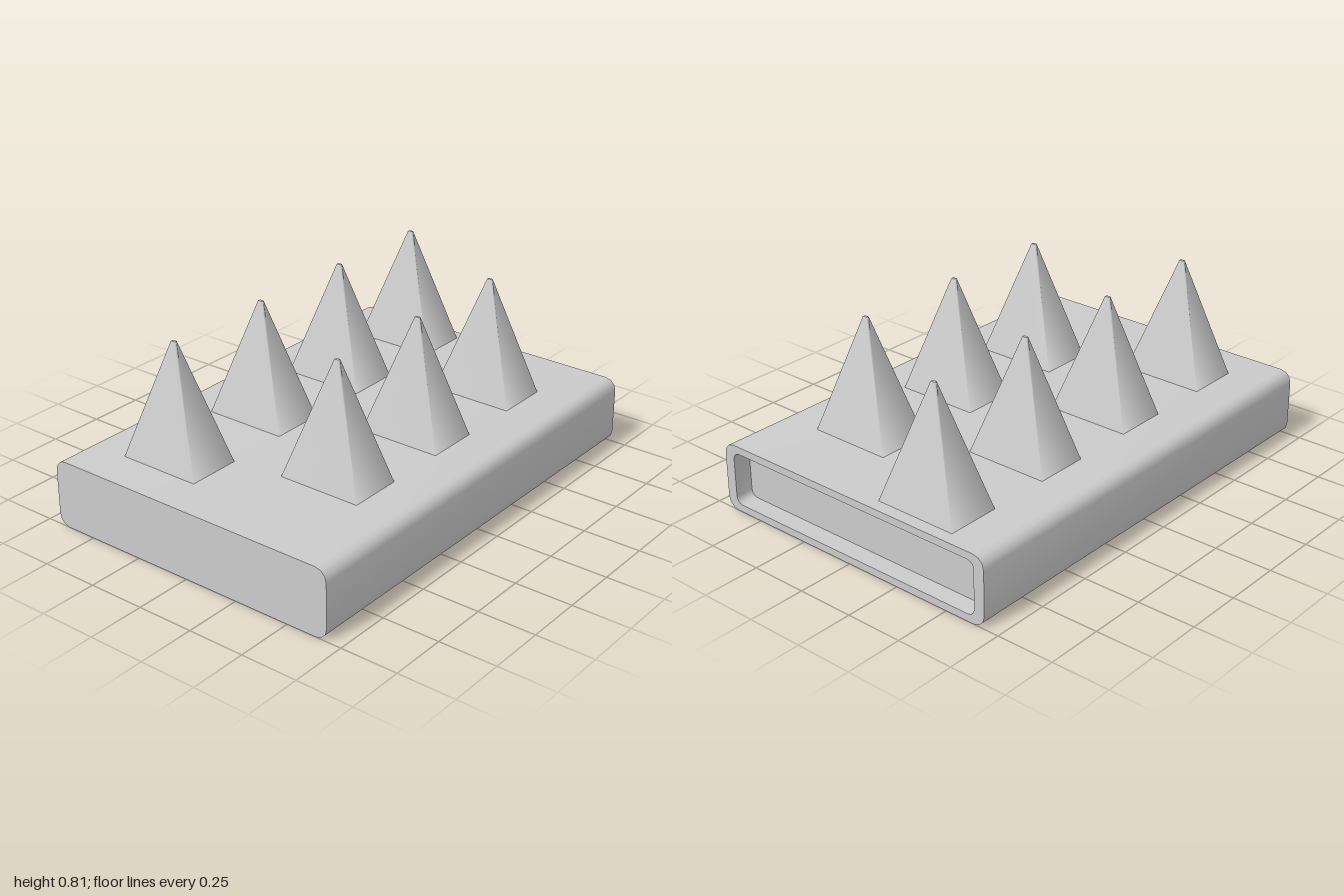
import * as THREE from 'three';
import { toCreasedNormals } from 'three/addons/utils/BufferGeometryUtils.js';

const material = new THREE.MeshStandardMaterial({ color: 0xcccccc });
const MID_Y = 0.1475;
const ARC_STEPS = 3;

// Rounded rectangle in the z-y plane at a given x
function roundedRing(x, halfZ, halfY, r) {
  const points = [];
  const corners = [[1, 1], [-1, 1], [-1, -1], [1, -1]];
  corners.forEach(([sz, sy], q) => {
    for (let i = 0; i <= ARC_STEPS; i++) {
      const a = (q + i / ARC_STEPS) * Math.PI / 2;
      points.push(new THREE.Vector3(
        x,
        MID_Y + sy * (halfY - r) + r * Math.sin(a),
        sz * (halfZ - r) + r * Math.cos(a)));
    }
  });
  return points;
}

// Skin a sequence of rings that share a point count
function loft(rings) {
  const positions = [];
  const addTriangle = (a, b, c) => {
    if (a.equals(b) || b.equals(c) || c.equals(a)) return;
    for (const p of [a, b, c]) positions.push(p.x, p.y, p.z);
  };
  for (let k = 0; k < rings.length - 1; k++) {
    const A = rings[k], B = rings[k + 1];
    for (let i = 0; i < A.length; i++) {
      const j = (i + 1) % A.length;
      addTriangle(A[i], B[i], B[j]);
      addTriangle(A[i], B[j], A[j]);
    }
  }
  const geometry = new THREE.BufferGeometry();
  geometry.setAttribute('position', new THREE.Float32BufferAttribute(positions, 3));
  return toCreasedNormals(geometry, 0.7);
}

export function createModel() {
  const model = new THREE.Group();
  model.name = 'spikedBlock';

  // Slab: closed on its right end, shallow recess in its left end
  const slab = new THREE.Mesh(loft([
    roundedRing(-1, 0, 0, 0),
    roundedRing(-1, 0.685, 0.1475, 0.05),
    roundedRing(1, 0.685, 0.1475, 0.05),
    roundedRing(1, 0.637, 0.115, 0.03),
    roundedRing(0.92, 0.637, 0.115, 0.03),
    roundedRing(0.92, 0, 0, 0),
  ]), material);
  slab.name = 'slab';
  model.add(slab);

  // Spikes: softly shaded four-sided pyramids with blunt tips
  const spikeGeometry = new THREE.CylinderGeometry(0.05, 1, 0.51, 4, 1, false, Math.PI / 4);
  spikeGeometry.scale(0.118 * Math.SQRT2, 1, 0.185 * Math.SQRT2);
  spikeGeometry.translate(0, 0.55, 0);

  const rows = [
    { name: 'backSpike', z: -0.3, start: -0.7, count: 4 },
    { name: 'frontSpike', z: 0.295, start: -0.445, count: 3 },
  ];
  for (const { name, z, start, count } of rows) {
    for (let i = 0; i < count; i++) {
      const spike = new THREE.Mesh(spikeGeometry, material);
      spike.name = name + (i + 1);
      spike.position.set(start + i * 0.509, 0, z);
      model.add(spike);
    }
  }
  return model;
}
